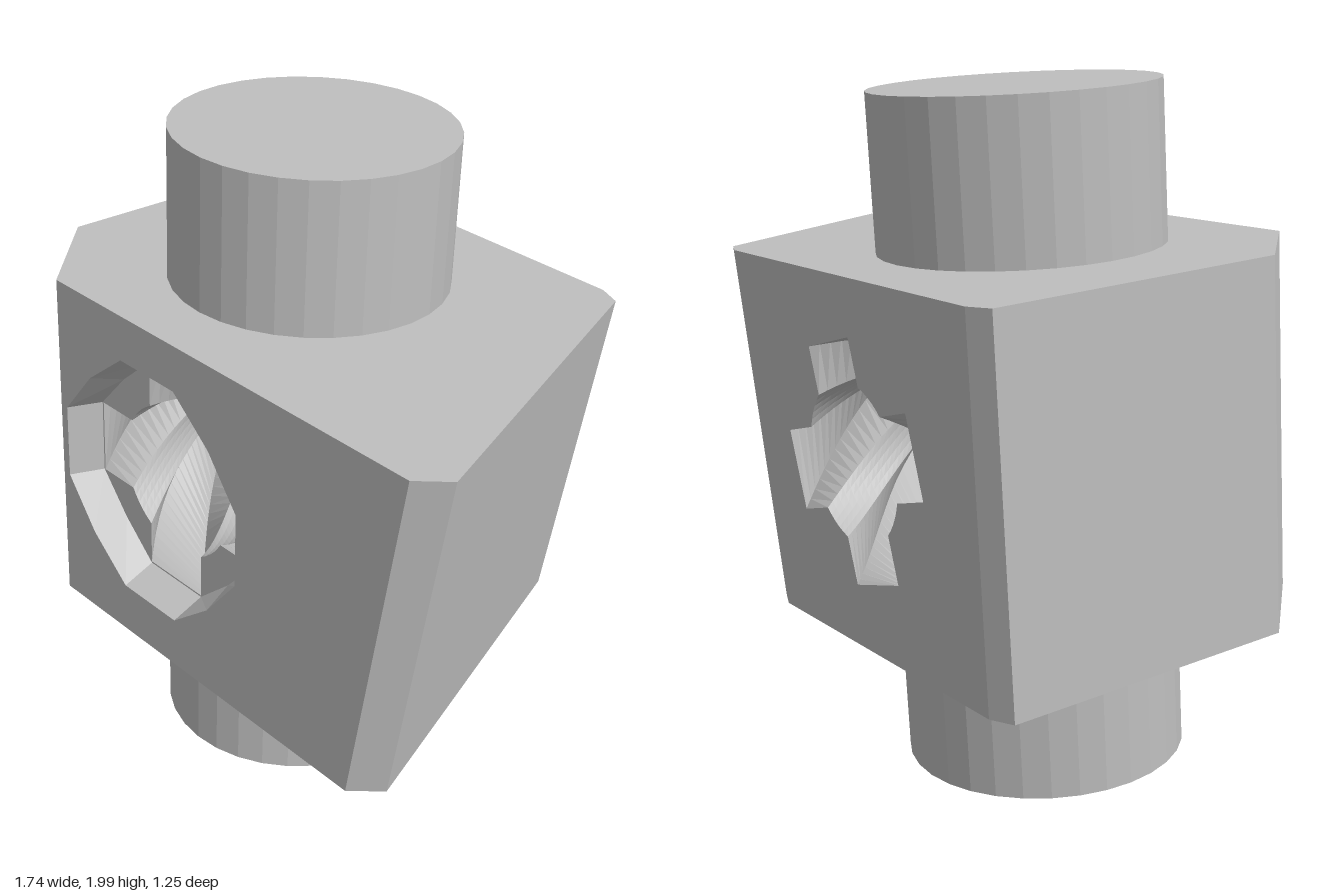
import * as THREE from 'three';

const HALF_H = 0.525, HALF_D = 0.593, RECESS_Z = 0.493;
const HOLE_X = -0.2, HOLE_Y = 0.01, TWIST = THREE.MathUtils.degToRad(195);
const V2 = (x, y) => new THREE.Vector2(x, y);

// Flat-shaded walls between successive loops of Vector3
function loft(loops, skip = []) {
  const pos = [];
  for (let k = 0; k + 1 < loops.length; k++) {
    const a = loops[k], b = loops[k + 1], n = a.length;
    for (let i = 0; i < n; i++) {
      if (skip.includes(i)) continue;
      const j = (i + 1) % n;
      for (const p of [a[i], b[i], b[j], a[i], b[j], a[j]]) pos.push(p.x, p.y, p.z);
    }
  }
  const g = new THREE.BufferGeometry();
  g.setAttribute('position', new THREE.Float32BufferAttribute(pos, 3));
  g.computeVertexNormals();
  return g;
}

// Flat face in the xy plane, with an optional hole; flip turns it to -z
function plate(outline, hole, flip = false) {
  const s = new THREE.Shape(outline);
  if (hole) s.holes.push(new THREE.Path(hole));
  const g = new THREE.ShapeGeometry(s);
  if (flip) {
    const ix = g.index.array;
    for (let i = 0; i < ix.length; i += 3) [ix[i], ix[i + 1]] = [ix[i + 1], ix[i]];
    g.computeVertexNormals();
  }
  return g;
}

// Twelve-sided recess outline with the given half width
function recessOutline(half) {
  const pts = [], d = half * 0.69;
  for (let q = 0; q < 4; q++)
    for (const [x, y] of [[half, -0.115], [half, 0.115], [d, d]])
      pts.push(V2(x, y).rotateAround(V2(0, 0), q * Math.PI / 2).add(V2(HOLE_X, HOLE_Y)));
  return pts;
}

// Round bore with four square grooves, turned by an angle
function boreOutline(angle) {
  const pts = [], r = 0.23;
  for (let q = 0; q < 4; q++) {
    const quarter = [V2(0.335, -0.115), V2(0.335, 0.115)];
    for (let i = 0; i <= 5; i++) {
      const t = (30 + i * 6) * Math.PI / 180;
      quarter.push(V2(r * Math.cos(t), r * Math.sin(t)));
    }
    for (const p of quarter)
      pts.push(p.rotateAround(V2(0, 0), q * Math.PI / 2 + angle).add(V2(HOLE_X, HOLE_Y)));
  }
  return pts;
}

const atZ = (pts, z) => pts.map(p => new THREE.Vector3(p.x, p.y, z));

export function createModel() {
  const model = new THREE.Group();
  model.name = 'twistBoredBlock';
  const grey = new THREE.MeshStandardMaterial({ color: 0xbfbfbf });
  grey.name = 'grey';
  const add = (name, geometry, x = 0, y = 0, z = 0) => {
    const m = new THREE.Mesh(geometry, grey);
    m.name = name;
    m.position.set(x, y, z);
    model.add(m);
  };

  // Block plan: chamfered corners, right side leaning in towards the bottom
  const plan = [[-0.605, HALF_D], [0.79, HALF_D], [0.865, 0.51], [0.48, -0.563],
    [0.41, -HALF_D], [-0.8, -HALF_D], [-0.87, -0.563], [-0.87, 0.325]];
  const planAt = y => plan.map(([x, z]) =>
    new THREE.Vector3(x > 0 && y < 0 ? x - 0.147 : x, y, z));
  const top = planAt(HALF_H), bottom = planAt(-HALF_H);
  add('blockSides', loft([top, bottom], [0, 4]));
  const cap = (loop, flip) => plate(loop.map(p => V2(p.x, -p.z)), null, flip).rotateX(-Math.PI / 2);
  add('blockTop', cap(top, false), 0, HALF_H, 0);
  add('blockBottom', cap(bottom, true), 0, -HALF_H, 0);

  // Front and back faces with their openings
  const face = (i, j) => [bottom[i], bottom[j], top[j], top[i]].map(p => V2(p.x, p.y));
  const rim = recessOutline(0.378), floor = recessOutline(0.34);
  add('blockFront', plate(face(0, 1), rim), 0, 0, HALF_D);
  add('blockBack', plate(face(5, 4), boreOutline(-TWIST), true), 0, 0, -HALF_D);

  // Recess: tapered wall and floor
  add('recessWall', loft([atZ(floor, RECESS_Z), atZ(rim, HALF_D)]));
  add('recessFloor', plate(floor, boreOutline(0)), 0, 0, RECESS_Z);

  // Twisted bore running to the back face
  const rings = [], steps = 48;
  for (let i = steps; i >= 0; i--) {
    const t = i / steps;
    rings.push(atZ(boreOutline(-TWIST * t), THREE.MathUtils.lerp(RECESS_Z, -HALF_D, t)));
  }
  add('twistedBore', loft(rings));

  // Round stubs above and below
  const len = 0.973 - HALF_H;
  for (const [name, s] of [['topStub', 1], ['bottomStub', -1]]) {
    const g = new THREE.CylinderGeometry(0.41, 0.41, len, 32).toNonIndexed();
    g.computeVertexNormals();
    add(name, g, -0.195, s * (HALF_H + len / 2), 0);
  }

  // The whole piece leans back slightly
  model.rotation.x = THREE.MathUtils.degToRad(-3.7);
  model.position.y = 1.002;
  const root = new THREE.Group();
  root.name = 'model';
  root.add(model);
  return root;
}
